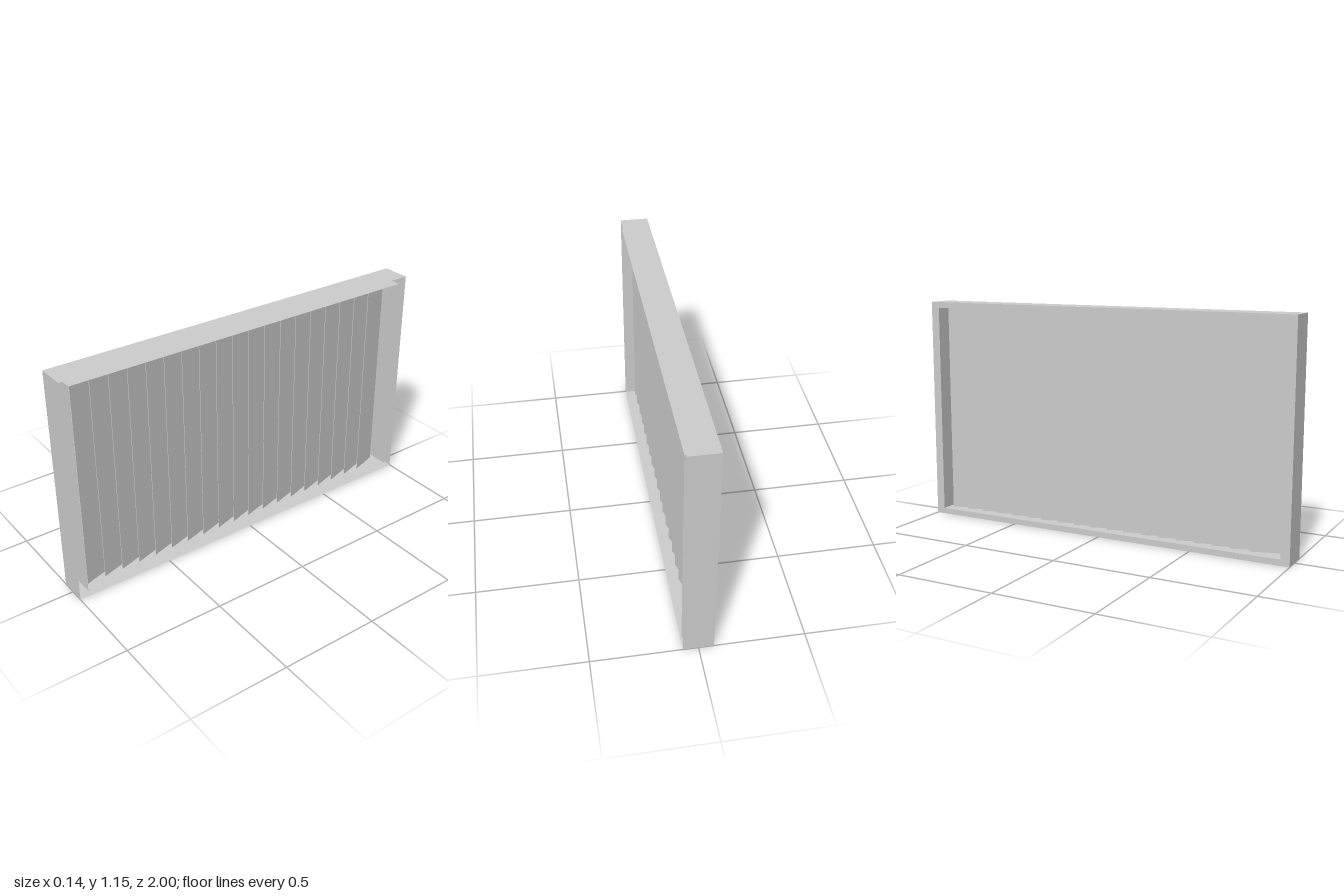
import * as THREE from 'three';

const W = 0.144, H = 1.15, L = 2;      // depth (x), height (y), length (z)
const SIDE = 0.045, RAIL = 0.03;       // frame bar widths

// Hollow ring channel: outer walls, inner walls and one closed face; open on +x
function frameGeometry() {
  const rect = (C, w, y0, y1) => new C([
    new THREE.Vector2(-w, y0), new THREE.Vector2(w, y0),
    new THREE.Vector2(w, y1), new THREE.Vector2(-w, y1)]);
  const shape = rect(THREE.Shape, L / 2, 0, H);
  shape.holes.push(rect(THREE.Path, L / 2 - SIDE, RAIL, H - RAIL));
  const solid = new THREE.ExtrudeGeometry(shape, { depth: W, bevelEnabled: false });

  // Caps come first in the buffer; drop the second cap to leave the channel open
  const lids = solid.groups[0].count;
  const pos = solid.attributes.position.array;
  const kept = [...pos.slice(0, lids / 2 * 3), ...pos.slice(lids * 3)];
  const geo = new THREE.BufferGeometry();
  geo.setAttribute('position', new THREE.Float32BufferAttribute(kept, 3));
  geo.translate(0, 0, -W / 2);
  geo.rotateY(Math.PI / 2);
  geo.computeVertexNormals();
  return geo;
}

export function createModel() {
  const group = new THREE.Group();
  group.name = 'louverPanel';
  const material = new THREE.MeshStandardMaterial({ color: 0xcccccc, side: THREE.DoubleSide });

  const frame = new THREE.Mesh(frameGeometry(), material);
  frame.name = 'frame';
  group.add(frame);

  // Overlapping vertical slats, each turned a little about its upright axis
  const COUNT = 19, END = 0.93, RUN = 0.142, LEAN = 0.044;
  const slatGeo = new THREE.BoxGeometry(0.003, H - 2 * RAIL, Math.hypot(RUN, LEAN));
  const slats = new THREE.Group();
  slats.name = 'slats';
  const first = END - RUN / 2;
  for (let i = 0; i < COUNT; i++) {
    const slat = new THREE.Mesh(slatGeo, material);
    slat.name = `slat${i + 1}`;
    slat.position.set(0, H / 2, first - (2 * first * i) / (COUNT - 1));
    slat.rotation.y = Math.atan2(LEAN, RUN);
    slats.add(slat);
  }
  group.add(slats);
  return group;
}
